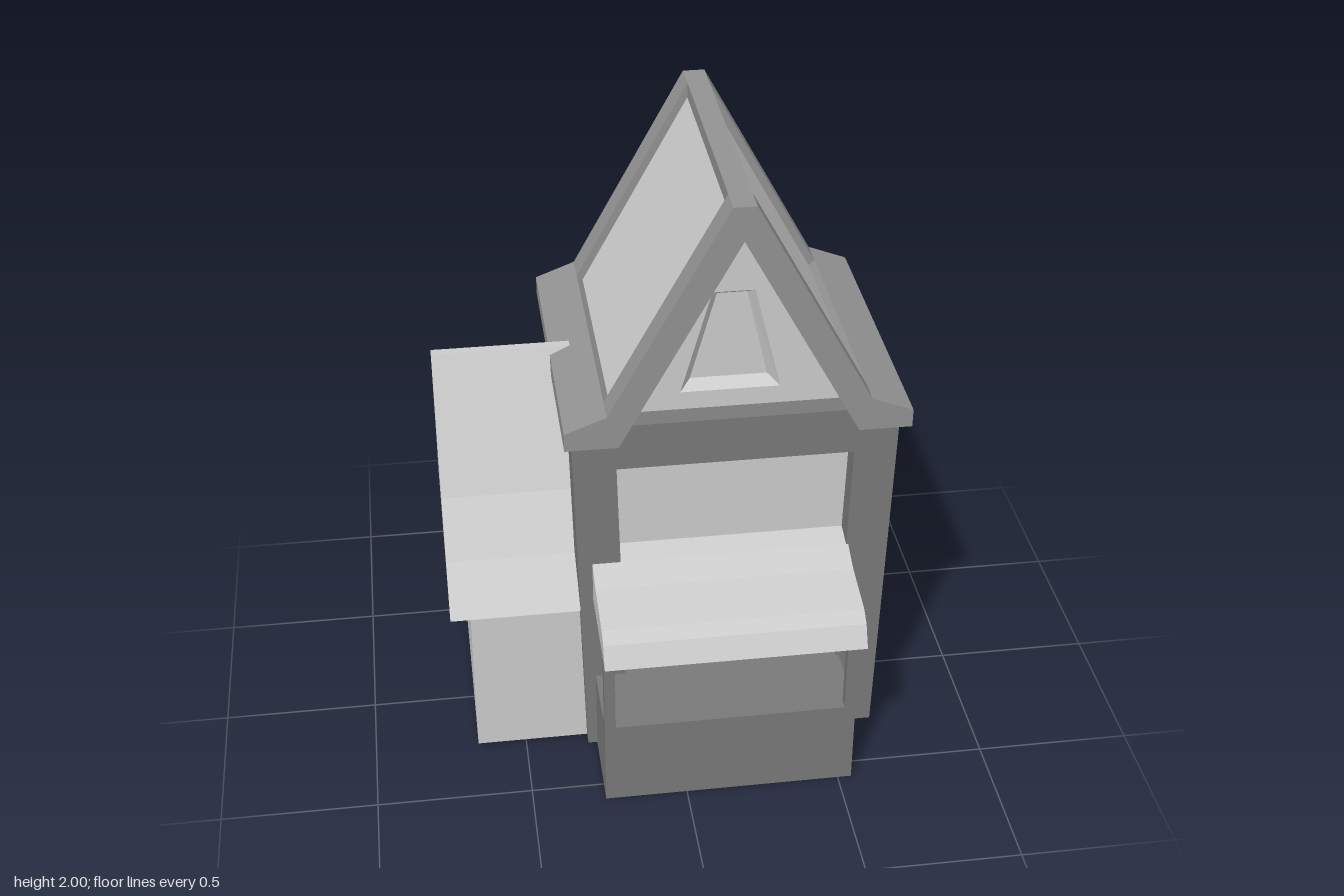
import * as THREE from 'three';

const CX = 0.185; // centre line of the main house
const wallMat = new THREE.MeshStandardMaterial({ color: 0xcccccc, side: THREE.DoubleSide, flatShading: true });
const woodMat = new THREE.MeshStandardMaterial({ color: 0x797979, flatShading: true });
const trimMat = new THREE.MeshStandardMaterial({ color: 0x929292, flatShading: true });

const toShape = (pts) => new THREE.Shape(pts.map(([x, y]) => new THREE.Vector2(x, y)));
const mirrorX = (pts) => pts.map(([x, y]) => [-x, y]).reverse();

function add(parent, name, geometry, material) {
  const mesh = new THREE.Mesh(geometry, material);
  mesh.name = name;
  parent.add(mesh);
  return mesh;
}

// Prism along z from an [x, y] outline
function prismZ(pts, z0, z1) {
  return new THREE.ExtrudeGeometry(toShape(pts), { depth: z1 - z0, bevelEnabled: false }).translate(0, 0, z0);
}

// Prism along x from a [z, y] outline
function prismX(pts, x0, x1) {
  const outline = pts.map(([z, y]) => [-z, y]);
  return new THREE.ExtrudeGeometry(toShape(outline), { depth: x1 - x0, bevelEnabled: false })
    .rotateY(Math.PI / 2).translate(x0, 0, 0);
}

function box(x0, x1, y0, y1, z0, z1) {
  return new THREE.BoxGeometry(x1 - x0, y1 - y0, z1 - z0)
    .translate((x0 + x1) / 2, (y0 + y1) / 2, (z0 + z1) / 2);
}

// Band of quads between two equal [x, y] lines at depths za and zb
function band(a, za, b, zb) {
  const pos = [];
  for (let i = 0; i < a.length - 1; i++) {
    const p = [...a[i], za], q = [...a[i + 1], za], r = [...b[i + 1], zb], s = [...b[i], zb];
    pos.push(...p, ...q, ...r, ...p, ...r, ...s);
  }
  const g = new THREE.BufferGeometry();
  g.setAttribute('position', new THREE.Float32BufferAttribute(pos, 3));
  g.computeVertexNormals();
  return g;
}

function buildHouse() {
  const house = new THREE.Group();
  house.name = 'mainHouse';
  house.position.x = CX;
  const zFront = 0.23, zBack = -0.54;

  // Tapered walls with gables, open underneath
  const half = [[0.445, 0.015], [0.475, 1.25], [0.38, 1.25]];
  const outline = [...half, [0, 1.93], ...mirrorX(half)];
  const windowOuter = [[-0.165, 1.32], [0.145, 1.32], [0.06, 1.66], [-0.07, 1.66]];
  const windowInner = [[-0.13, 1.345], [0.11, 1.345], [0.042, 1.635], [-0.05, 1.635]];
  const front = toShape(outline);
  front.holes.push(new THREE.Path(windowOuter.map(([x, y]) => new THREE.Vector2(x, y))));
  add(house, 'frontWall', new THREE.ShapeGeometry(front).translate(0, 0, zFront), wallMat);
  add(house, 'backWall', new THREE.ShapeGeometry(toShape(outline)).rotateY(Math.PI).translate(0, 0, zBack), wallMat);
  add(house, 'sideWalls', band(outline, zFront, outline, zBack), wallMat);

  // Recessed gable window with splayed reveal
  const close = (pts) => [...pts, pts[0]];
  add(house, 'windowReveal', band(close(windowOuter), zFront, close(windowInner), zFront - 0.04), wallMat);
  add(house, 'windowPane', new THREE.ShapeGeometry(toShape(windowInner)).translate(0, 0, zFront - 0.04), wallMat);

  // Leaning corner posts and front beam
  const post = [[0.345, 0.015], [0.48, 0.015], [0.51, 1.23], [0.375, 1.23]];
  add(house, 'frontLeftPost', prismZ(post, 0.17, 0.305), woodMat);
  add(house, 'frontRightPost', prismZ(mirrorX(post), 0.17, 0.305), woodMat);
  add(house, 'backLeftPost', prismZ(post, -0.61, -0.48), woodMat);
  add(house, 'frontBeam', box(-0.38, 0.38, 1.105, 1.26, 0.17, 0.304), woodMat);

  // Roof: framed ends, with ridge, eaves and sunken panels between
  const eave = [[0.37, 1.22], [0.535, 1.22], [0.535, 1.28], [0.405, 1.33]];
  const frameHalf = [...eave, [0.035, 2]];
  const frame = [...frameHalf, ...mirrorX(frameHalf), [0, 1.89]];
  add(house, 'frontRoofFrame', prismZ(frame, 0.27, 0.36), trimMat);
  add(house, 'backRoofFrame', prismZ(frame, -0.64, -0.54), trimMat);
  const ridge = [[-0.035, 1.9], [0.035, 1.9], [0.035, 2], [-0.035, 2]];
  add(house, 'ridgeBeam', prismZ(ridge, -0.54, 0.27), trimMat);
  const panel = [[0.37, 1.22], [0.437, 1.22], [0.035, 1.95], [0, 1.95], [0, 1.89]];
  for (const [side, flip] of [['left', (p) => p], ['right', mirrorX]]) {
    add(house, side + 'Eave', prismZ(flip([...eave, [0.37, 1.3]]), -0.54, 0.27), trimMat);
    add(house, side + 'RoofPanel', prismZ(flip(panel), -0.54, 0.27), wallMat);
  }
  return house;
}

function buildAnnex() {
  const annex = new THREE.Group();
  annex.name = 'sideAnnex';

  // Three walls, open underneath
  const walls = [[-0.255, 0.26], [-0.66, 0.26], [-0.66, -0.54], [-0.255, -0.54]];
  const g = band(walls, 0.015, walls, 0.575);
  g.rotateX(Math.PI / 2).scale(1, -1, 1); // plan outline stood upright
  const p = g.attributes.position;
  for (let i = 0; i < p.count; i++) p.setZ(i, p.getZ(i));
  g.computeVertexNormals();
  add(annex, 'annexWalls', g, wallMat);

  // Flared gable roof
  const zc = -0.14;
  const side = [[0.44, 0.568], [0.315, 0.71], [0.2, 0.88], [0.015, 1.305]];
  const profile = [...side, ...mirrorX(side)].map(([z, y]) => [z + zc, y]);
  add(annex, 'annexRoof', prismX(profile, -0.725, -0.27), wallMat);
  return annex;
}

function buildStall() {
  const stall = new THREE.Group();
  stall.name = 'marketStall';
  const x0 = -0.265, x1 = 0.545;
  add(stall, 'counter', prismX([[0.24, 0.015], [0.57, 0.003], [0.57, 0.3], [0.24, 0.3]], x0, x1), woodMat);
  for (const [name, x] of [['rightStallPost', x0], ['leftStallPost', x1 - 0.035]]) {
    add(stall, name, box(x, x + 0.035, 0.29, 0.62, 0.535, 0.57), woodMat);
  }
  // Drooping awning
  const awning = [[0.22, 0.775], [0.305, 0.753], [0.39, 0.717], [0.56, 0.685], [0.6, 0.657],
    [0.637, 0.588], [0.56, 0.598], [0.22, 0.618]];
  add(stall, 'awning', prismX(awning, -0.268, 0.555), wallMat);
  return stall;
}

export function createModel() {
  const model = new THREE.Group();
  model.name = 'shopHouse';
  model.add(buildHouse(), buildAnnex(), buildStall());
  return model;
}
